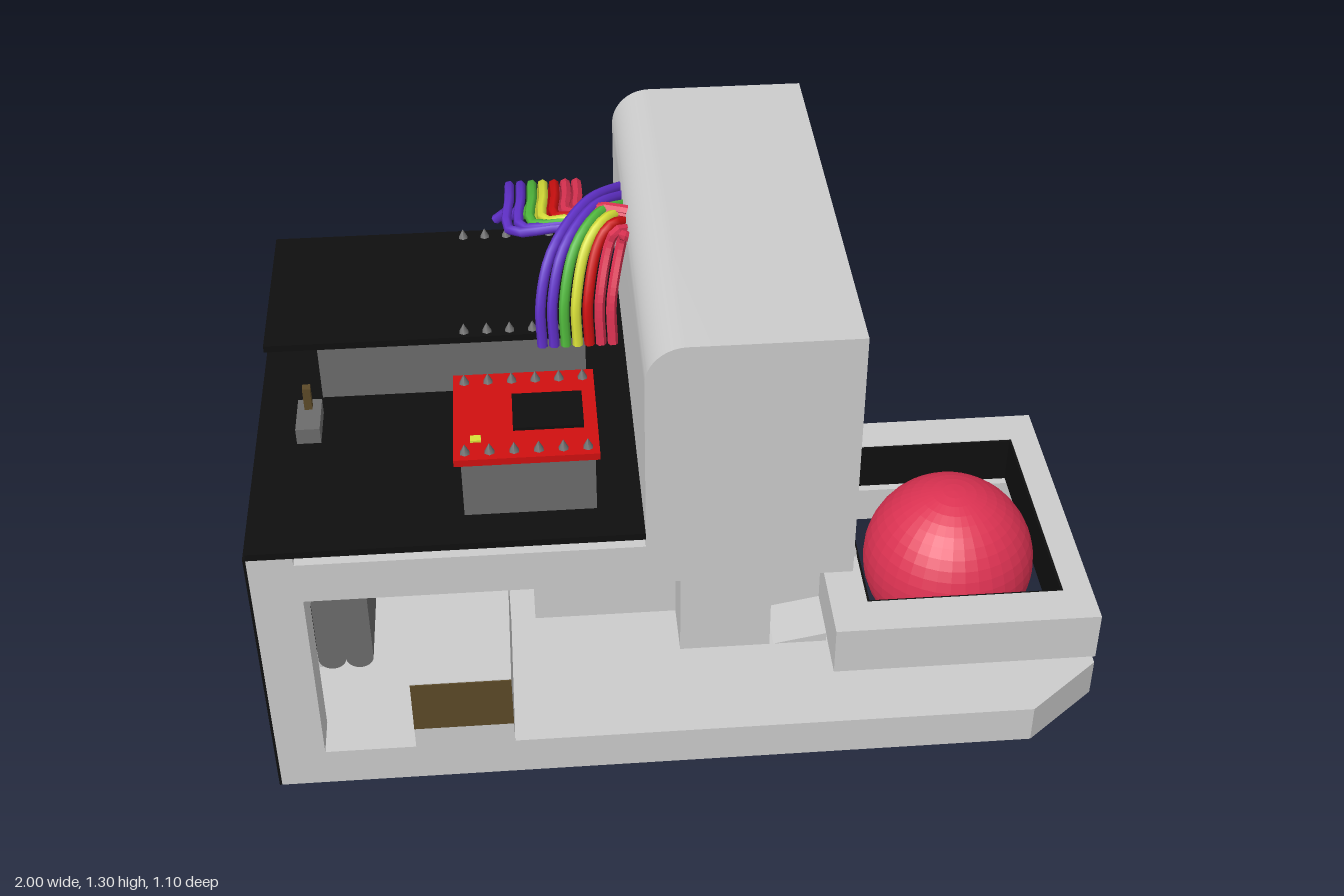
import * as THREE from 'three';
import { toCreasedNormals } from 'three/addons/utils/BufferGeometryUtils.js';

const mat = (name, color, opts = {}) => {
  const m = new THREE.MeshStandardMaterial({ color, ...opts });
  m.name = name;
  return m;
};

export function createModel() {
  const root = new THREE.Group();
  const grey = mat('shellGrey', 0xcccccc), black = mat('black', 0x0f0f0f);
  const dark = mat('darkGrey', 0x6c6c6c), brown = mat('brown', 0x5c4a28);
  const crimson = mat('crimson', 0xdc3252, { flatShading: true }), red = mat('boardRed', 0xd01010);
  const purple = mat('purple', 0x6030c8), green = mat('green', 0x50b83c);
  const yellow = mat('yellow', 0xd8e038);

  const add = (name, geo, material) => {
    const m = new THREE.Mesh(geo, material);
    m.name = name;
    root.add(m);
    return m;
  };
  // Box given by its limits on each axis
  const box = (name, material, x0, x1, y0, y1, z0, z1) => {
    const g = new THREE.BoxGeometry(x1 - x0, y1 - y0, z1 - z0);
    return add(name, g.translate((x0 + x1) / 2, (y0 + y1) / 2, (z0 + z1) / 2), material);
  };
  const poly = (pts) => new THREE.Shape(pts.map(([a, b]) => new THREE.Vector2(a, b)));
  const rect = (a0, a1, b0, b1) => poly([[a0, b0], [a1, b0], [a1, b1], [a0, b1]]);
  const extrude = (shape, depth) => toCreasedNormals(
    new THREE.ExtrudeGeometry(shape, { depth, bevelEnabled: false, curveSegments: 10 }), 0.6);
  // Extrusions along z, up y, and towards +x (shape drawn as -z, y)
  const alongZ = (s, z0, z1) => extrude(s, z1 - z0).translate(0, 0, z0);
  const alongY = (s, y0, y1) => extrude(s, y1 - y0).rotateX(-Math.PI / 2).translate(0, y0, 0);
  const alongX = (s, x0, x1) => extrude(s, x1 - x0).rotateY(Math.PI / 2).translate(x0, 0, 0);
  const tube = (name, material, pts, r = 0.012) => add(name, new THREE.TubeGeometry(
    new THREE.CatmullRomCurve3(pts.map((p) => new THREE.Vector3(...p))), 20, r, 6), material);

  // Base plate with chamfered front corners and an open notch for the ball
  add('basePlate', alongY(poly([[-0.96, -0.545], [0.82, -0.545], [1, -0.4], [1, -0.3], [0.45, -0.3],
    [0.45, 0.3], [1, 0.3], [1, 0.4], [0.82, 0.545], [-0.96, 0.545]]), 0.1, 0.2), grey);

  // Ball and its square guard
  add('ball', new THREE.SphereGeometry(0.217, 36, 24).translate(0.712, 0.22, 0.005), crimson);
  const guard = rect(0.36, 1, -0.4, 0.4);
  guard.holes.push(rect(0.45, 0.93, -0.3, 0.3));
  add('ballGuard', alongY(guard, 0.22, 0.35), grey);
  for (const s of [-1, 1]) {
    box('guardLining', black, 0.45, 0.93, 0.222, 0.348, s * 0.297 - 0.003, s * 0.297 + 0.003);
  }
  for (const x of [0.453, 0.927]) box('guardLining', black, x - 0.003, x + 0.003, 0.222, 0.348, -0.3, 0.3);
  add('guardWedge', alongZ(poly([[0.23, 0.2], [0.36, 0.2], [0.36, 0.225]]), -0.27, 0.27), grey);

  // Rounded black hood in front of the central block
  box('centreBlock', grey, -0.35, 0.12, 0.2, 0.42, -0.13, 0.13);
  const hood = new THREE.Shape();
  hood.moveTo(0.12, 0.2);
  hood.lineTo(0.45, 0.2);
  hood.lineTo(0.45, 0.34);
  hood.quadraticCurveTo(0.45, 0.42, 0.39, 0.42);
  hood.lineTo(0.12, 0.42);
  add('hood', alongZ(hood, -0.134, 0.134), [grey, black]);

  // Columns, rear posts and motors, mirrored on both sides
  for (const s of [-1, 1]) {
    const side = (name, m, x0, x1, y0, y1, a, b) =>
      box(name, m, x0, x1, y0, y1, Math.min(s * a, s * b), Math.max(s * a, s * b));
    side('column', grey, 0, 0.22, 0.2, 0.67, 0.13, 0.27);
    side('rearPost', grey, -0.96, -0.85, 0.2, 0.67, 0.45, 0.545);
    side('motor', grey, -0.64, -0.41, 0.2, 0.4, 0.14, 0.545);
    side('motorEnd', brown, -0.64, -0.41, 0.26, 0.398, 0.543, 0.548);
    side('sensorFoot', grey, -0.94, -0.87, 0.2, 0.27, 0.18, 0.26);
  }
  box('rearBrace', grey, -0.96, -0.85, 0.57, 0.67, 0.3, 0.46);
  box('lineSensor', black, -0.945, -0.865, 0.27, 0.305, -0.28, 0.28);

  // Side speaker with one rounded upper corner and a dark rim
  const speaker = new THREE.Shape();
  speaker.moveTo(-0.35, 0.2);
  speaker.lineTo(0.05, 0.2);
  speaker.lineTo(0.05, 0.52);
  speaker.lineTo(-0.24, 0.52);
  speaker.quadraticCurveTo(-0.33, 0.52, -0.35, 0.42);
  add('speaker', alongZ(speaker, -0.44, -0.27), grey);
  add('speakerFace', alongZ(speaker, -0.49, -0.44), [grey, black]);
  box('speakerSide', grey, 0.05, 0.054, 0.2, 0.52, -0.49, -0.27);
  for (let i = 0; i < 5; i++) {
    const a = Math.PI * (0.95 + i * 0.25);
    add('speakerMark', new THREE.TorusGeometry(0.07, 0.006, 4, 6, 0.45).rotateZ(a)
      .scale(1, 1, 0.5).translate(-0.17, 0.34, -0.491), black);
  }

  // Deck and black end frame
  box('deck', grey, -0.96, 0, 0.67, 0.775, -0.545, 0.545);
  box('deckLip', grey, -0.96, -0.86, 0.775, 0.795, -0.545, 0.545);
  box('circuitBoard', black, -0.96, -0.1, 0.795, 0.812, -0.545, 0.545);
  const frame = rect(-0.545, 0.545, 0.1, 0.8);
  frame.holes.push(poly([[-0.45, 0.2], [0.45, 0.2], [0.45, 0.67], [-0.3, 0.67], [-0.3, 0.57], [-0.45, 0.57]]));
  add('endFrame', alongX(frame, -0.966, -0.96), black);

  // Two flat cells and their leads
  for (const x of [-0.838, -0.773]) {
    const cell = new THREE.Shape();
    cell.absarc(x, 0.588, 0.033, 0, Math.PI);
    cell.absarc(x, 0.268, 0.033, Math.PI, 2 * Math.PI);
    add('batteryCell', alongZ(cell, -0.305, 0.305), dark);
  }
  [[black, 0], [red, 0.02]].forEach(([m, d]) => {
    for (const s of [-1, 1]) {
      tube('batteryLead', m, [[-0.79 + d, 0.6, s * 0.3], [-0.86 + d, 0.58 - d, s * (0.345 - d)],
        [-0.95, 0.53 + d, s * 0.25], [-0.985 + d, 0.46 + d, s * 0.13],
        [-0.97, 0.54, s * 0.04], [-0.94, 0.66, -0.03 + d]], 0.01);
    }
  });

  // Head: solid rear with rounded back edge, front panel with a recessed window
  const head = new THREE.Shape();
  head.moveTo(-0.1, 0.67);
  head.lineTo(0.28, 0.67);
  head.lineTo(0.28, 1.3);
  head.lineTo(-0.01, 1.3);
  head.absarc(-0.01, 1.21, 0.09, Math.PI / 2, Math.PI);
  add('head', alongZ(head, -0.545, 0.545), grey);
  const panel = rect(-0.545, 0.545, 0.67, 1.3);
  panel.holes.push(rect(-0.175, 0.445, 0.77, 1.2));
  add('facePanel', alongX(panel, 0.28, 0.36), grey);
  box('windowSill', black, 0.28, 0.358, 0.77, 0.774, -0.445, 0.175);
  box('windowTop', black, 0.28, 0.358, 1.196, 1.2, -0.445, 0.175);
  box('windowSide', black, 0.28, 0.358, 0.77, 1.2, 0.171, 0.175);
  box('windowSide', black, 0.28, 0.358, 0.77, 1.2, -0.445, -0.441);

  // Painted marks: smooth closed curves through a few points (-z, y)
  const blob = (name, x, pts) => {
    const curve = new THREE.CatmullRomCurve3(pts.map(([u, v]) => new THREE.Vector3(u, v, 0)), true);
    add(name, alongX(poly(curve.getPoints(60).map((p) => [p.x, p.y])), x, x + 0.004), black);
  };
  blob('crossMark', 0.28, [[-0.16, 1.12], [-0.13, 1.175], [-0.07, 1.17], [0, 1.095], [0.08, 1.1], [0.16, 1.17],
    [0.23, 1.16], [0.245, 1.09], [0.18, 1.05], [0.12, 1], [0.13, 0.92], [0.2, 0.87], [0.2, 0.83],
    [0.13, 0.84], [0.05, 0.88], [-0.03, 0.88], [-0.09, 0.84], [-0.15, 0.86], [-0.14, 0.92], [-0.08, 0.97],
    [-0.08, 1.02]]);
  blob('faceMark', 0.36, [[-0.51, 1.06], [-0.46, 1.12], [-0.36, 1.14], [-0.29, 1.17], [-0.265, 1.14],
    [-0.3, 1.05], [-0.29, 0.93], [-0.35, 0.91], [-0.45, 0.96], [-0.505, 1.01]]);
  blob('faceDot', 0.36, [[-0.275, 1.18], [-0.25, 1.225], [-0.22, 1.2], [-0.25, 1.165]]);

  // Controller board and red driver board on sockets
  box('controllerSocket', dark, -0.82, -0.2, 0.812, 0.955, -0.45, -0.01);
  box('controllerBoard', black, -0.94, -0.18, 0.955, 0.972, -0.46, 0);
  box('connector', dark, -0.942, -0.84, 0.93, 0.95, -0.28, -0.16);
  box('driverSocket', dark, -0.49, -0.2, 0.812, 0.955, 0.16, 0.45);
  box('driverBoard', red, -0.505, -0.19, 0.955, 0.972, 0.15, 0.46);
  box('driverChip', black, -0.375, -0.22, 0.972, 0.98, 0.24, 0.365);
  box('driverLamp', yellow, -0.468, -0.445, 0.972, 0.977, 0.38, 0.4);
  for (let i = 0; i < 6; i++) {
    for (const z of [0.18, 0.435, -0.43, -0.02]) {
      add('pin', new THREE.ConeGeometry(0.012, 0.024, 6).translate(-0.48 + i * 0.053, 0.984, z), dark);
    }
  }
  box('switchBody', dark, -0.87, -0.815, 0.812, 0.852, 0.05, 0.165);
  box('switchLever', brown, -0.853, -0.835, 0.852, 0.91, 0.07, 0.09);

  // Two ribbons of coloured wire curving into the back of the head
  const ribbon = [purple, purple, green, yellow, red, crimson, crimson];
  ribbon.forEach((m, i) => {
    const x = -0.37 + i * 0.027, y = 1.16 + i * 0.008;
    tube('ribbonWire', m, [[x - 0.03, i < 3 ? 0.97 : 0.82, -0.51], [x, 1.0, -0.5], [x + 0.01, 1.12, -0.42],
      [x + 0.01, 1.17, -0.28], [x + 0.01, y, -0.15], [(x - 0.08) / 2, y + 0.03, -0.11], [-0.07, y + 0.03, -0.08]]);
    const bx = -0.3 + i * 0.027;
    tube('ribbonWire', m, [[bx, 0.97, 0.05], [bx, 1.08, 0.035], [bx + 0.03, 1.18 + 0.005 * i, -0.02],
      [(bx - 0.07) / 2, 1.235, -0.14 + 0.025 * i], [-0.07, 1.2, -0.28 + 0.045 * i]]);
  });
  return root;
}
